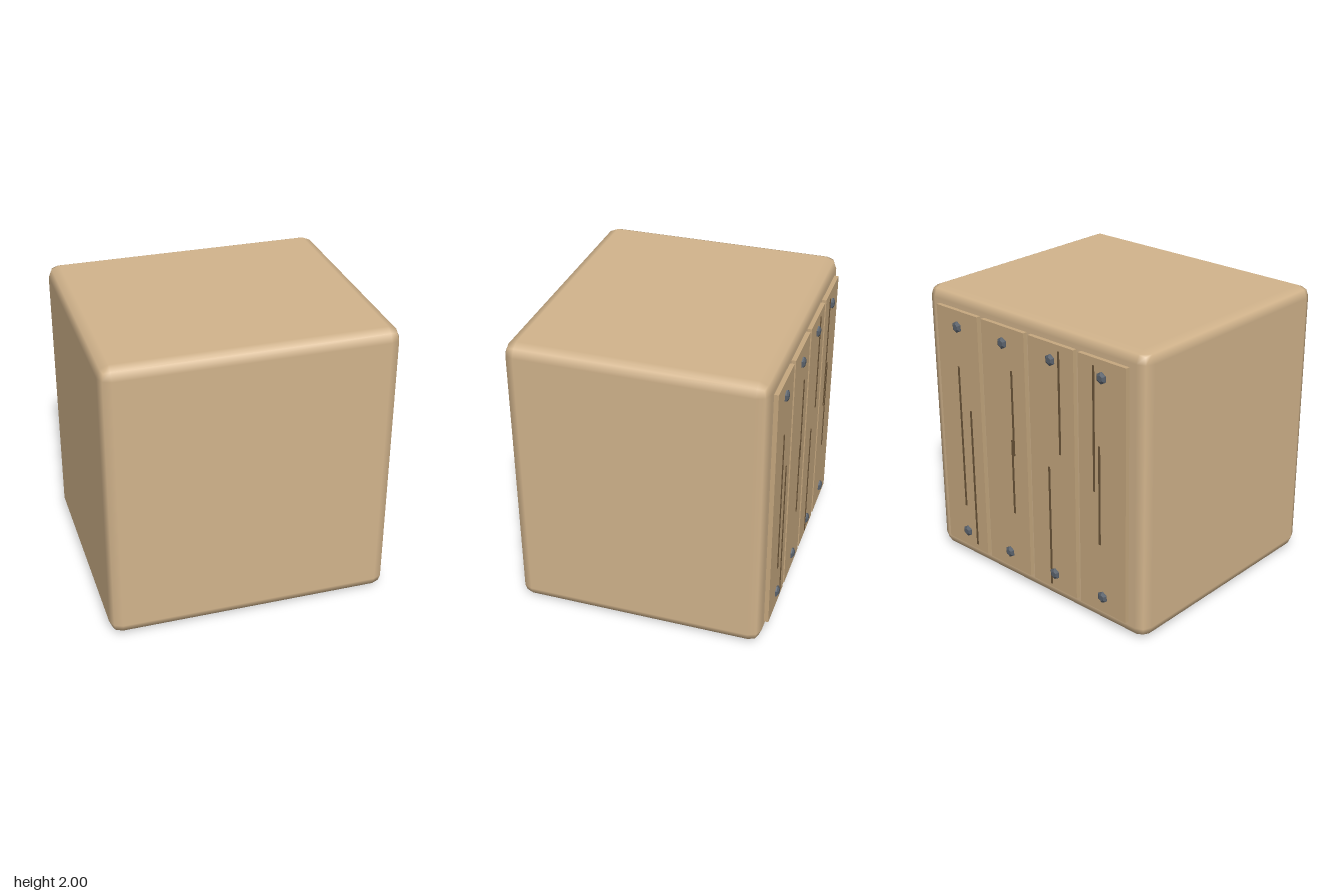
import * as THREE from 'three';
import { RoundedBoxGeometry } from 'three/addons/geometries/RoundedBoxGeometry.js';

const mat = (color, flatShading = false) => new THREE.MeshStandardMaterial({ color, flatShading });

export function createModel() {
  const model = new THREE.Group();
  const tan = mat(0xd2b48c), plank = mat(0xc6a87f), dark = mat(0x6b5539), steel = mat(0x5a626c, true);

  const add = (name, geometry, material, x, y, z) => {
    const mesh = new THREE.Mesh(geometry, material);
    mesh.name = name;
    mesh.position.set(x, y, z);
    model.add(mesh);
  };

  // Block with chamfered edges
  add('body', new RoundedBoxGeometry(1.96, 2, 1.72, 1, 0.08), tan, 0, 1, 0.025);

  // Six-sided bolt head pointing backwards
  const boltGeometry = new THREE.LatheGeometry(
    [[0.04, 0], [0.04, 0.01], [0.022, 0.021], [0, 0.021]].map(([r, h]) => new THREE.Vector2(r, h)), 6);
  boltGeometry.rotateX(-Math.PI / 2);

  // Four back planks, each held by two bolts
  const plankGeometry = new THREE.BoxGeometry(0.395, 1.78, 0.05);
  for (let i = 0; i < 4; i++) {
    const x = 0.65 - i * 0.434;
    add('backPlank', plankGeometry, plank, x, 1, -0.84);
    for (const y of [0.225, 1.775]) add('bolt', boltGeometry, steel, x, y, -0.864);
  }

  // Thin upright grain strips: x, bottom, top
  const grain = [
    [0.655, 0.43, 1.49], [0.555, 0.15, 1.19],
    [0.14, 0.99, 1.6], [0.155, 0.55, 1.1],
    [-0.29, 1.14, 1.85], [-0.187, 0.135, 1.02],
    [-0.585, 0.98, 1.84], [-0.63, 0.61, 1.31],
  ];
  for (const [x, low, high] of grain) {
    add('grainStrip', new THREE.BoxGeometry(0.014, high - low, 0.012), dark, x, (low + high) / 2, -0.864);
  }

  return model;
}
